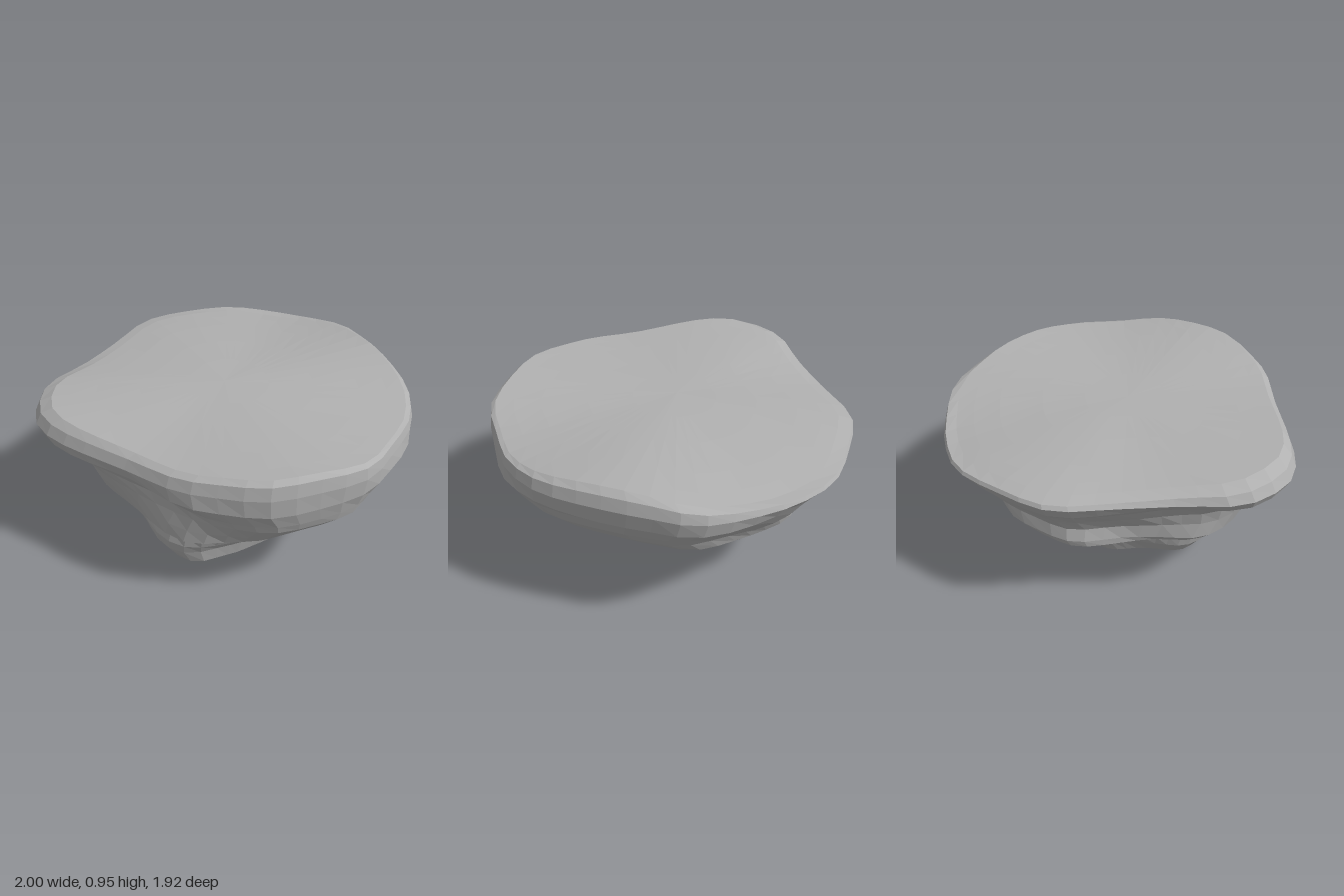
import * as THREE from 'three';

const SEGMENTS = 48;

// Plan outline of the plateau, from +x round through +z.
const OUTLINE = [
  [0.99, 0.05], [0.95, 0.4], [0.82, 0.63], [0.65, 0.77], [0.42, 0.93], [0.15, 0.955],
  [-0.12, 0.93], [-0.3, 0.83], [-0.48, 0.7], [-0.67, 0.45], [-0.87, 0.2], [-0.96, 0.06],
  [-1, -0.1], [-0.91, -0.36], [-0.66, -0.54], [-0.42, -0.73], [-0.16, -0.93], [0.12, -0.96],
  [0.42, -0.935], [0.6, -0.83], [0.74, -0.7], [0.95, -0.41], [0.98, -0.2],
];

// Each ring: reach and height at -x, +x, front and back, then the bulge of
// the corner between -x and the front.
const RIM = [-0.91, 0.935, 0.945, 0.95, 0.925, 0.95, -0.88, 0.875, 0];
const RINGS = [
  RIM,
  [-0.97, 0.9, 0.98, 0.92, 0.95, 0.925, -0.95, 0.86, 0],
  [-1, 0.84, 0.995, 0.85, 0.96, 0.85, -0.96, 0.84, 0],
  [-0.97, 0.78, 0.975, 0.75, 0.955, 0.74, -0.92, 0.77, 0],
  [-0.83, 0.69, 0.91, 0.69, 0.93, 0.65, -0.85, 0.69, 0.03],
  [-0.77, 0.61, 0.86, 0.6, 0.91, 0.6, -0.78, 0.6, 0.06],
  [-0.74, 0.53, 0.79, 0.51, 0.82, 0.5, -0.72, 0.52, 0.12],
  [-0.7, 0.43, 0.72, 0.44, 0.75, 0.43, -0.73, 0.45, 0.2],
  [-0.66, 0.4, 0.64, 0.405, 0.68, 0.395, -0.71, 0.41, 0.24],
  [-0.58, 0.34, 0.55, 0.36, 0.59, 0.34, -0.59, 0.355, 0.3],
  [-0.55, 0.28, 0.52, 0.3, 0.53, 0.25, -0.49, 0.3, 0.4],
  [-0.52, 0.2, 0.505, 0.24, 0.48, 0.19, -0.46, 0.26, 0.45],
  [-0.45, 0.1, 0.37, 0.19, 0.46, 0.1, -0.38, 0.14, 0.45],
  [-0.35, 0.05, 0.2, 0.11, 0.4, 0.055, -0.28, 0.08, 0.45],
  [-0.26, 0.01, 0.03, 0.035, 0.24, 0.012, -0.13, 0.025, 0.4],
];

function createRockGeometry() {
  const curve = new THREE.CatmullRomCurve3(
    OUTLINE.map(([x, z]) => new THREE.Vector3(x, 0, z)), true);
  const plan = curve.getSpacedPoints(SEGMENTS).slice(0, SEGMENTS);

  const ringPoints = ([xr, yr, xl, yl, zf, yf, zb, yb, bulge], index) => plan.map((p) => {
    const a = Math.atan2(p.z, p.x);
    const c2 = Math.cos(a) ** 2;
    const diagonal = Math.sin(2 * a) ** 2;
    // The rim sags between its four high points
    const sag = (p.x > 0 ? 0.06 : 0.025) * diagonal * Math.max(0, 1 - index / 3);
    const y = c2 * (p.x > 0 ? yl : yr) + (1 - c2) * (p.z > 0 ? yf : yb) - sag;
    // Shallow weathering below the rim, and the bulging corner of the lower layers
    const wear = index > 2 ? 0.02 * diagonal * Math.sin(5 * a + index * 1.3) : 0;
    const corner = a > 0 ? bulge * Math.exp(-(((a - 2.36) / 0.5) ** 2)) : 0;
    const scale = 1 + wear + corner;
    return new THREE.Vector3(
      (xl + xr) / 2 + p.x * scale * (xl - xr) / 1.99,
      y,
      (zf + zb) / 2 + p.z * scale * (zf - zb) / 1.915);
  });

  // Shallow dished plateau, from its centre out to the rim
  const centre = new THREE.Vector3(0.02, 0.925, 0);
  const rim = ringPoints(RIM, 0);
  const loops = [0, 0.25, 0.5, 0.75, 0.9].map((t) => rim.map((p) => {
    const q = centre.clone().lerp(p, t);
    q.y = centre.y + (p.y - centre.y) * t * t;
    return q;
  }));
  // Layered sides, then the closing point underneath
  loops.push(...RINGS.map(ringPoints));
  loops.push(plan.map(() => new THREE.Vector3(-0.14, 0, 0.09)));

  const positions = loops.flatMap((loop) => loop.flatMap((p) => [p.x, p.y, p.z]));
  const indices = [];
  const last = loops.length - 2;
  for (let i = 0; i <= last; i++) {
    for (let j = 0; j < SEGMENTS; j++) {
      const a = i * SEGMENTS + j;
      const b = i * SEGMENTS + (j + 1) % SEGMENTS;
      const c = a + SEGMENTS;
      const d = b + SEGMENTS;
      if (i > 0) indices.push(a, b, c);
      if (i < last) indices.push(b, d, c);
    }
  }
  const geometry = new THREE.BufferGeometry();
  geometry.setAttribute('position', new THREE.Float32BufferAttribute(positions, 3));
  geometry.setIndex(indices);
  geometry.computeVertexNormals();
  return geometry;
}

export function createModel() {
  const group = new THREE.Group();
  group.name = 'floatingRock';
  const stone = new THREE.MeshStandardMaterial({ color: 0xb0b0b0, flatShading: true });
  stone.name = 'grey stone';
  const rock = new THREE.Mesh(createRockGeometry(), stone);
  rock.name = 'layeredRock';
  group.add(rock);
  return group;
}
